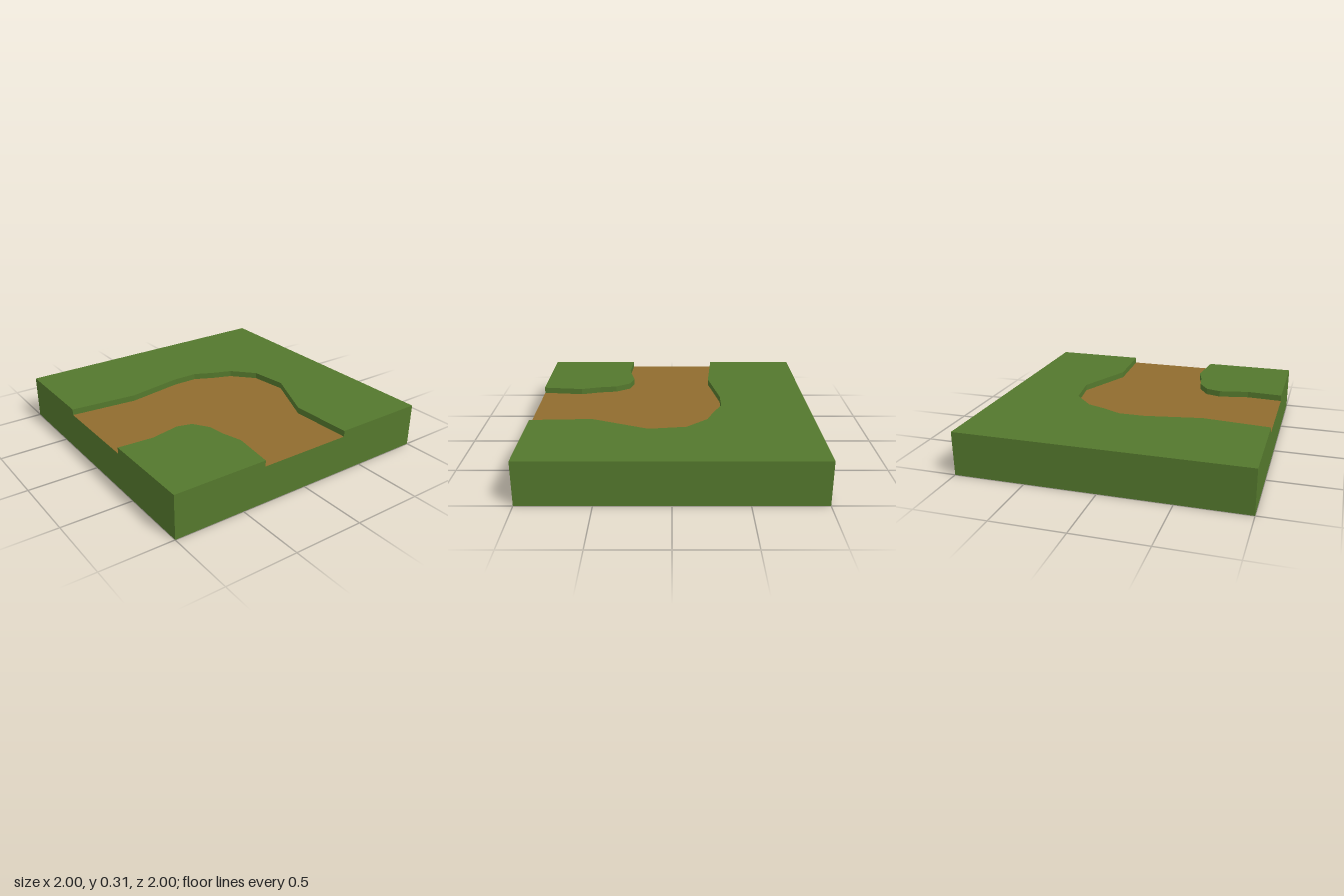
import * as THREE from 'three';

const TOP = 0.31;   // grass surface height
const FLOOR = 0.267; // path surface height

export function createModel() {
  const grass = new THREE.MeshStandardMaterial({ color: 0x54782d });
  grass.name = 'grass green';
  const dirt = new THREE.MeshStandardMaterial({ color: 0x906c2e });
  dirt.name = 'dirt brown';

  const group = new THREE.Group();
  group.name = 'cornerPathTile';

  // Ground block: its upper face is the path floor
  const block = new THREE.Mesh(
    new THREE.BoxGeometry(2, FLOOR, 2),
    [grass, grass, dirt, grass, grass, grass]
  );
  block.name = 'groundBlock';
  block.position.y = FLOOR / 2;
  group.add(block);

  // Raised turf from an [x, z] outline, extruded down to the path floor
  const addTurf = (name, outline) => {
    const shape = new THREE.Shape(outline.map(([x, z]) => new THREE.Vector2(x, z)));
    const geometry = new THREE.ExtrudeGeometry(shape, { depth: TOP - FLOOR, bevelEnabled: false });
    geometry.rotateX(Math.PI / 2);
    const mesh = new THREE.Mesh(geometry, grass);
    mesh.name = name;
    mesh.position.y = TOP;
    group.add(mesh);
  };

  // Large turf around the outside of the bend
  addTurf('outerTurf', [
    [-1, -1], [1, -1], [1, 1], [0.333, 1], [0.315, 0.56], [0.49, 0.16],
    [0.455, -0.1], [0.315, -0.25], [0.18, -0.3], [0.05, -0.363],
    [-0.13, -0.363], [-0.53, -0.292], [-1, -0.335],
  ]);

  // Small turf on the inside of the bend
  addTurf('innerTurf', [
    [-1, 1], [-1, 0.333], [-0.75, 0.348], [-0.54, 0.305], [-0.435, 0.333],
    [-0.363, 0.44], [-0.343, 0.57], [-0.303, 0.705], [-0.335, 1],
  ]);

  return group;
}
